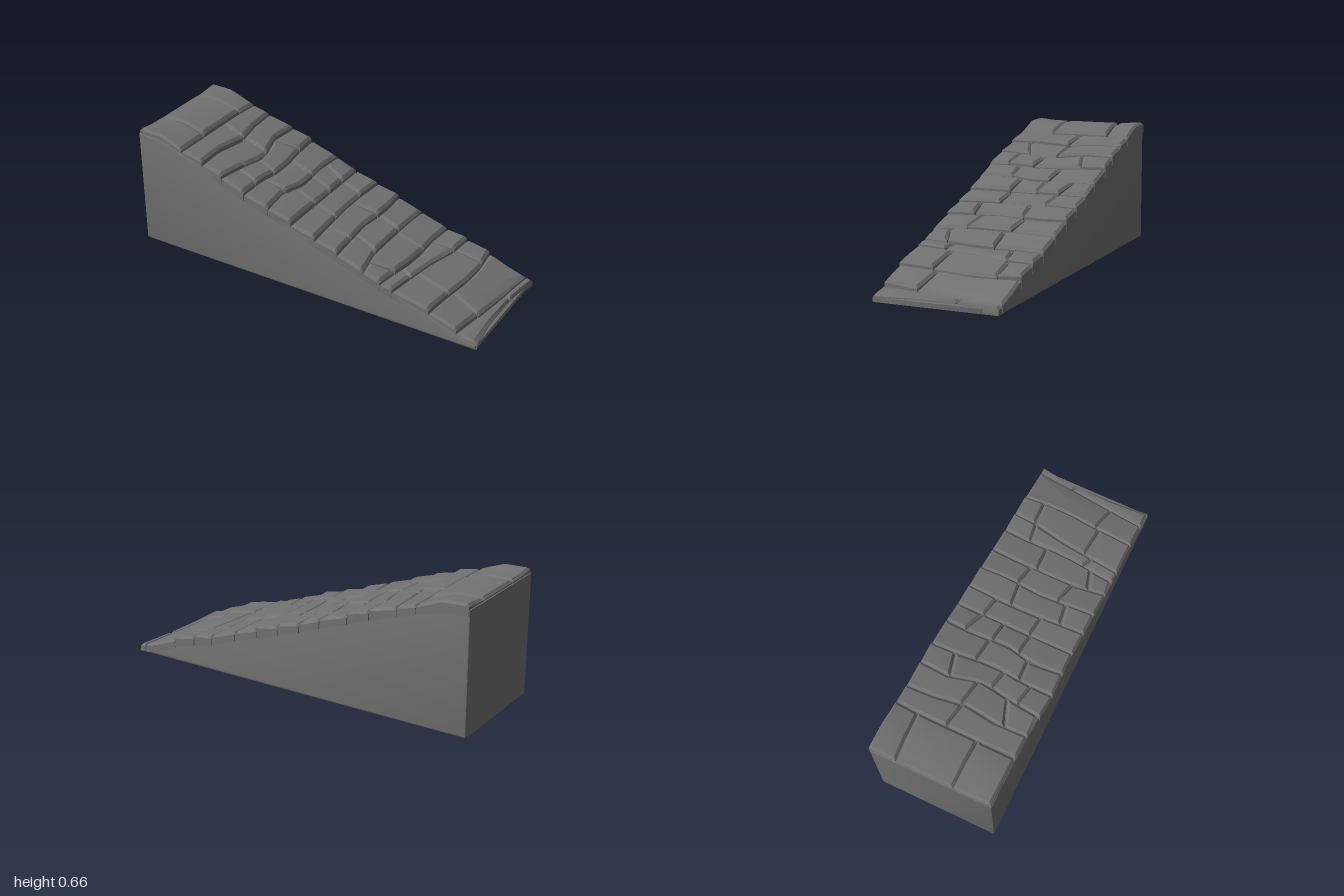
import * as THREE from 'three';
import { toCreasedNormals } from 'three/addons/utils/BufferGeometryUtils.js';

// Piecewise linear lookup in a list of [position, value] pairs
function lookup(points, p) {
  if (p <= points[0][0]) return points[0][1];
  for (let i = 1; i < points.length; i++) {
    const [a, va] = points[i - 1], [b, vb] = points[i];
    if (p <= b) return va + (vb - va) * (p - a) / (b - a);
  }
  return points[points.length - 1][1];
}

// Height of the paved slope along x
const slope = [
  [-0.98, 0.648], [-0.86, 0.645], [-0.72, 0.602], [-0.58, 0.558], [-0.45, 0.518],
  [-0.31, 0.465], [-0.18, 0.422], [-0.06, 0.372], [0.07, 0.332], [0.2, 0.29],
  [0.34, 0.242], [0.49, 0.186], [0.58, 0.168], [0.75, 0.115], [0.9, 0.052], [1, 0.035],
];
// How far the edge stones reach sideways along x
const reachLeft = [[-0.98, 0.318], [-0.6, 0.32], [-0.36, 0.336], [-0.1, 0.322], [0.4, 0.326], [1, 0.316]];
const reachRight = [[-0.98, 0.328], [-0.6, 0.326], [-0.3, 0.334], [0.2, 0.33], [1, 0.326]];

// Seams between rows: x at z = -0.32, -0.16, 0, 0.16, 0.32
const seams = [
  [-0.985, -0.985, -0.985, -0.985, -0.985],
  [-0.71, -0.72, -0.72, -0.72, -0.72],
  [-0.61, -0.6, -0.57, -0.6, -0.59],
  [-0.46, -0.47, -0.42, -0.45, -0.47],
  [-0.34, -0.33, -0.31, -0.33, -0.33],
  [-0.18, -0.19, -0.17, -0.21, -0.19],
  [-0.06, -0.06, -0.06, -0.06, -0.06],
  [0.07, 0.06, 0.06, 0.07, 0.08],
  [0.2, 0.21, 0.19, 0.2, 0.21],
  [0.34, 0.33, 0.33, 0.33, 0.36],
  [0.49, 0.48, 0.49, 0.47, 0.45],
  [0.61, 0.6, 0.56, 0.54, 0.52],
  [0.74, 0.76, 0.75, 0.73, 0.72],
  [0.95, 0.93, 0.92, 0.89, 0.87],
  [0.99, 0.965, 0.955, 0.965, 0.985],
];
// Joints inside each row: z at the upper and the lower seam
const joints = [
  [[-0.18, -0.2], [0.12, 0.12]],
  [[-0.05, -0.03]],
  [[-0.04, -0.02], [0.2, 0.14]],
  [[-0.16, -0.2], [0.05, 0.07], [0.2, 0.22]],
  [[-0.09, -0.08], [0.15, 0.14]],
  [[-0.22, -0.18], [-0.07, -0.06], [0.08, 0.09]],
  [[-0.18, -0.16], [0.08, 0.09]],
  [[-0.08, -0.1], [0.19, 0.17]],
  [[-0.11, -0.09], [0.12, 0.15]],
  [[-0.06, -0.07], [0.23, 0.19]],
  [[-0.17, -0.19], [0.14, 0.17]],
  [[-0.2, -0.21], [0.12, 0.13]],
  [[0.1, 0.13]],
  [[-0.12, -0.1]],
];

const seamX = (k, z) => lookup(seams[k].map((x, i) => [(i - 2) * 0.16, x]), z);

// Position across a stone: outer skirt, rim, bevel, middle and back out again
function across(i, size) {
  const insets = [0.002, 0.003, Math.min(0.016, size * 0.25)];
  if (i === 3) return 0.5;
  return i < 3 ? insets[i] / size : 1 - insets[6 - i] / size;
}

// One bevelled paving stone, tilted so that its lower edge stands proud
function stoneGeometry(row, start, end, lift) {
  const positions = [], index = [], n = 7;
  for (let i = 0; i < n; i++) for (let j = 0; j < n; j++) {
    const width = end[0] - start[0];
    const length = seamX(row + 1, (start[0] + end[0]) / 2) - seamX(row, (start[0] + end[0]) / 2);
    const u = across(i, Math.max(length, 0.02)), v = across(j, width);
    const z0 = start[0] + (start[1] - start[0]) * u, z1 = end[0] + (end[1] - end[0]) * u;
    let z = z0 + (z1 - z0) * v;
    const x = seamX(row, z) * (1 - u) + seamX(row + 1, z) * u;
    // Widen the outer stones to the uneven edge of the ramp
    if (z > 0.3) z += lookup(reachLeft, x) - 0.32;
    if (z < -0.3) z -= lookup(reachRight, x) - 0.32;
    const layer = Math.min(i, j, n - 1 - i, n - 1 - j);
    const corner = x < -0.76 ? Math.max(0, Math.abs(z) - 0.2) * 0.09 : 0;
    const raise = [-0.045, -0.01, 0.003, 0.005][layer] + (layer ? lift * u + corner : 0);
    positions.push(x, Math.max(0.004, lookup(slope, x) + raise), z);
  }
  for (let i = 0; i < n - 1; i++) for (let j = 0; j < n - 1; j++) {
    const a = i * n + j, b = a + 1, c = a + n, d = c + 1;
    index.push(a, b, c, b, d, c);
  }
  const geometry = new THREE.BufferGeometry();
  geometry.setAttribute('position', new THREE.Float32BufferAttribute(positions, 3));
  geometry.setIndex(index);
  return toCreasedNormals(geometry, 0.45);
}

export function createModel() {
  const model = new THREE.Group();
  model.name = 'stoneRamp';
  const stone = new THREE.MeshStandardMaterial({ color: 0x727272 });
  stone.name = 'grey stone';

  // Solid wedge, its upper side just under the paving
  const profile = new THREE.Shape();
  profile.moveTo(-0.988, 0);
  profile.lineTo(0.975, 0);
  profile.lineTo(0.975, 0.024);
  for (const [x, y] of [...slope].reverse().slice(1)) profile.lineTo(x, y - 0.016);
  profile.lineTo(-0.988, 0.632);
  const bevel = 0.008;
  const wedge = new THREE.ExtrudeGeometry(profile, {
    depth: 0.642 - 2 * bevel, bevelEnabled: true, bevelSize: bevel,
    bevelThickness: bevel, bevelOffset: -bevel, bevelSegments: 2,
  });
  wedge.translate(0, 0, -0.321 + bevel);
  const body = new THREE.Mesh(toCreasedNormals(wedge, 0.5), stone);
  body.name = 'wedgeBody';
  model.add(body);

  // Rows of paving stones down the slope
  const paving = new THREE.Group();
  paving.name = 'paving';
  joints.forEach((row, r) => {
    const ends = [[-0.32, -0.32], ...row, [0.32, 0.32]];
    for (let s = 0; s < ends.length - 1; s++) {
      const lift = r === 13 ? 0 : 0.005 + 0.004 * ((r * 5 + s * 2) % 4);
      const mesh = new THREE.Mesh(stoneGeometry(r, ends[s], ends[s + 1], lift), stone);
      mesh.name = `pavingStone${r + 1}_${s + 1}`;
      paving.add(mesh);
    }
  });
  model.add(paving);
  return model;
}
